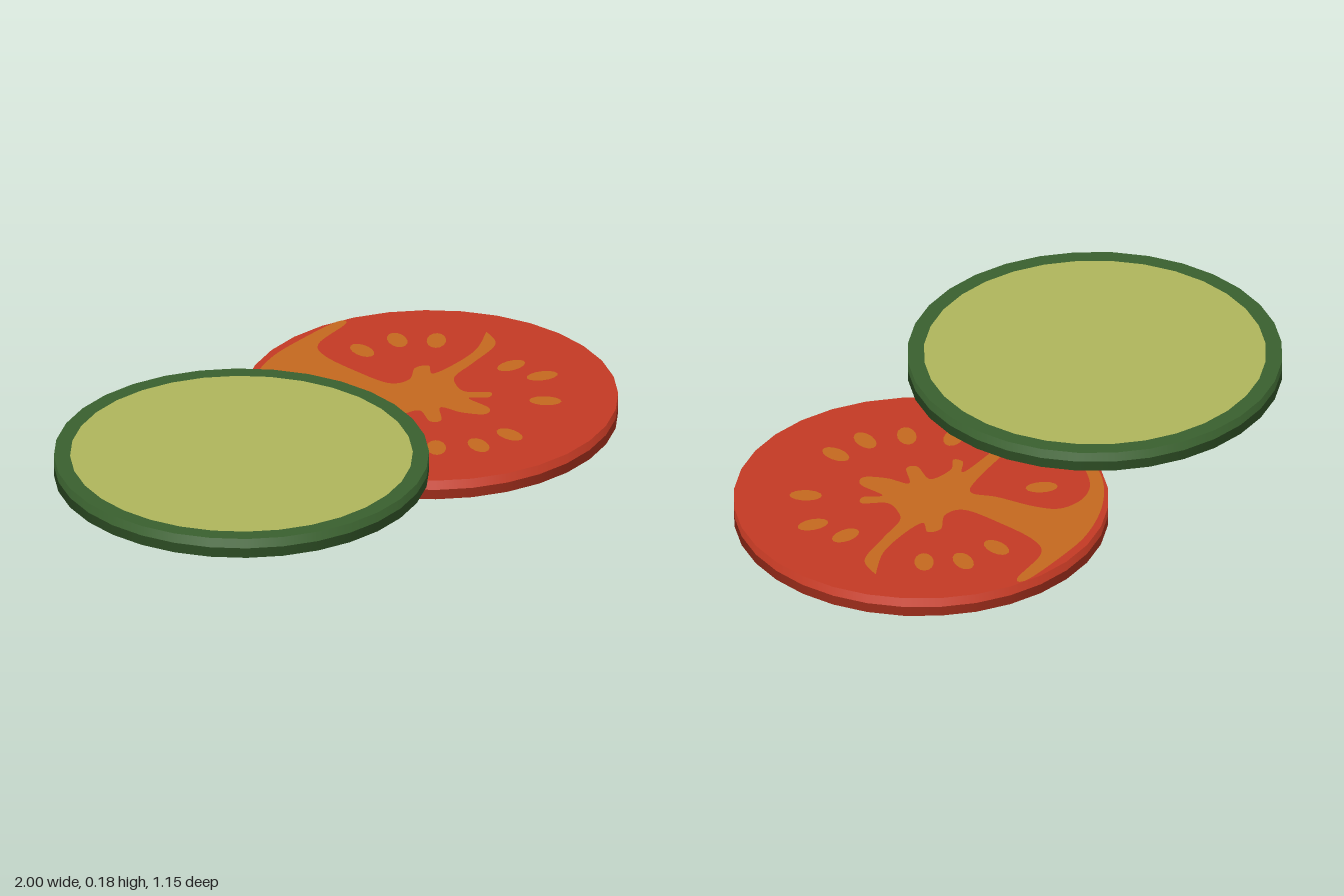
import * as THREE from 'three';

const R = 0.577, SEG = 32;
const mat = (name, color) => {
  const m = new THREE.MeshStandardMaterial({ color });
  m.name = name;
  return m;
};

// Pulp outline as (x, z): core, arms and the band curving along the rim
const PULP = [
  [0.43, -0.17], [0.385, -0.09], [0.25, -0.055], [0.15, -0.035], [0.11, 0], [0.09, 0.06],
  [0.14, 0.12], [0.11, 0.14], [0.065, 0.1], [0.06, 0.19], [0.02, 0.21], [-0.02, 0.15],
  [-0.04, 0.08], [-0.1, 0.14], [-0.13, 0.12], [-0.1, 0.045], [-0.18, 0.03], [-0.23, 0.06],
  [-0.24, 0.03], [-0.2, -0.01], [-0.41, 0], [-0.4, -0.03], [-0.2, -0.065], [-0.12, -0.1],
  [-0.15, -0.18], [-0.18, -0.3], [-0.22, -0.37], [-0.3, -0.39], [-0.38, -0.36], [-0.45, -0.28],
  [-0.51, -0.19], [-0.49, -0.28], [-0.42, -0.38], [-0.3, -0.47], [-0.15, -0.53], [0, -0.548],
  [0.16, -0.55], [0.17, -0.52], [0.02, -0.49], [-0.03, -0.42], [-0.04, -0.28], [-0.03, -0.15],
  [0.03, -0.12], [0.1, -0.16], [0.14, -0.14], [0.11, -0.095], [0.2, -0.09], [0.32, -0.11],
];

// Seed centres as (x, z)
const SEEDS = [
  [0.075, -0.36], [0.2, -0.33], [0.28, -0.24], [0.315, 0.043], [0.33, 0.16], [0.214, 0.283],
  [-0.027, 0.36], [-0.145, 0.34], [-0.246, 0.257], [-0.33, 0.14], [-0.28, -0.25],
];

// Skin wall in two bands whose normals lean up and down like a softened rim
function wallGeometry(h) {
  const g = new THREE.CylinderGeometry(R, R, h, SEG, 2, true).toNonIndexed();
  const p = g.attributes.position, n = g.attributes.normal, v = new THREE.Vector3();
  for (let i = 0; i < p.count; i += 3) {
    const lean = p.getY(i) + p.getY(i + 1) + p.getY(i + 2) > 0 ? 0.45 : -0.45;
    for (let j = i; j < i + 3; j++) {
      v.set(p.getX(j) / R, lean, p.getZ(j) / R).normalize();
      n.setXYZ(j, v.x, v.y, v.z);
    }
  }
  return g;
}

// Add a flat upward-facing piece
function flat(parent, name, geometry, material, y) {
  const m = new THREE.Mesh(geometry.rotateX(-Math.PI / 2), material);
  m.name = name;
  m.position.y = y;
  parent.add(m);
}

// A slice: wall plus the same face on top and, turned over, underneath
function slice(name, h, skin, buildFace) {
  const g = new THREE.Group();
  g.name = name;
  const wall = new THREE.Mesh(wallGeometry(h), skin);
  wall.name = name + 'Wall';
  g.add(wall);
  ['TopFace', 'BottomFace'].forEach((side, i) => {
    const face = new THREE.Group();
    face.name = name + side;
    face.rotation.x = i * Math.PI;
    buildFace(face, h / 2);
    g.add(face);
  });
  return g;
}

export function createModel() {
  const red = mat('tomatoRed', 0xc43a24);
  const orange = mat('pulpOrange', 0xc6691f);
  const green = mat('cucumberSkinGreen', 0x3a612f);
  const lime = mat('cucumberFleshGreen', 0xb0b75c);
  const model = new THREE.Group();
  model.name = 'vegetableSlices';

  // Tomato slice with pulp and seeds
  const tomato = slice('tomato', 0.064, red, (face, y) => {
    flat(face, 'tomatoFlesh', new THREE.CircleGeometry(R, SEG), red, y);
    const pts = PULP.map(([x, z]) => new THREE.Vector2(x, -z));
    const pulp = new THREE.Shape().moveTo(pts[0].x, pts[0].y);
    pulp.splineThru([...pts.slice(1), pts[0]]);
    flat(face, 'pulp', new THREE.ShapeGeometry(pulp, 144), orange, y + 0.0015);
    for (const [x, z] of SEEDS) {
      const seed = new THREE.CircleGeometry(1, 14).scale(0.05, 0.03, 1);
      seed.rotateZ(Math.atan2(-z, x)).translate(x, -z, 0);
      flat(face, 'seed', seed, orange, y + 0.0015);
    }
  });
  tomato.position.set(0.423, 0.0335, 0);

  // Cucumber slice with a skin ring around pale flesh
  const cucumber = slice('cucumber', 0.065, green, (face, y) => {
    flat(face, 'skinRing', new THREE.RingGeometry(0.527, R, SEG), green, y);
    flat(face, 'flesh', new THREE.CircleGeometry(0.527, SEG), lime, y);
  });
  cucumber.position.set(-0.423, 0.1455, 0);

  model.add(tomato, cucumber);
  return model;
}
